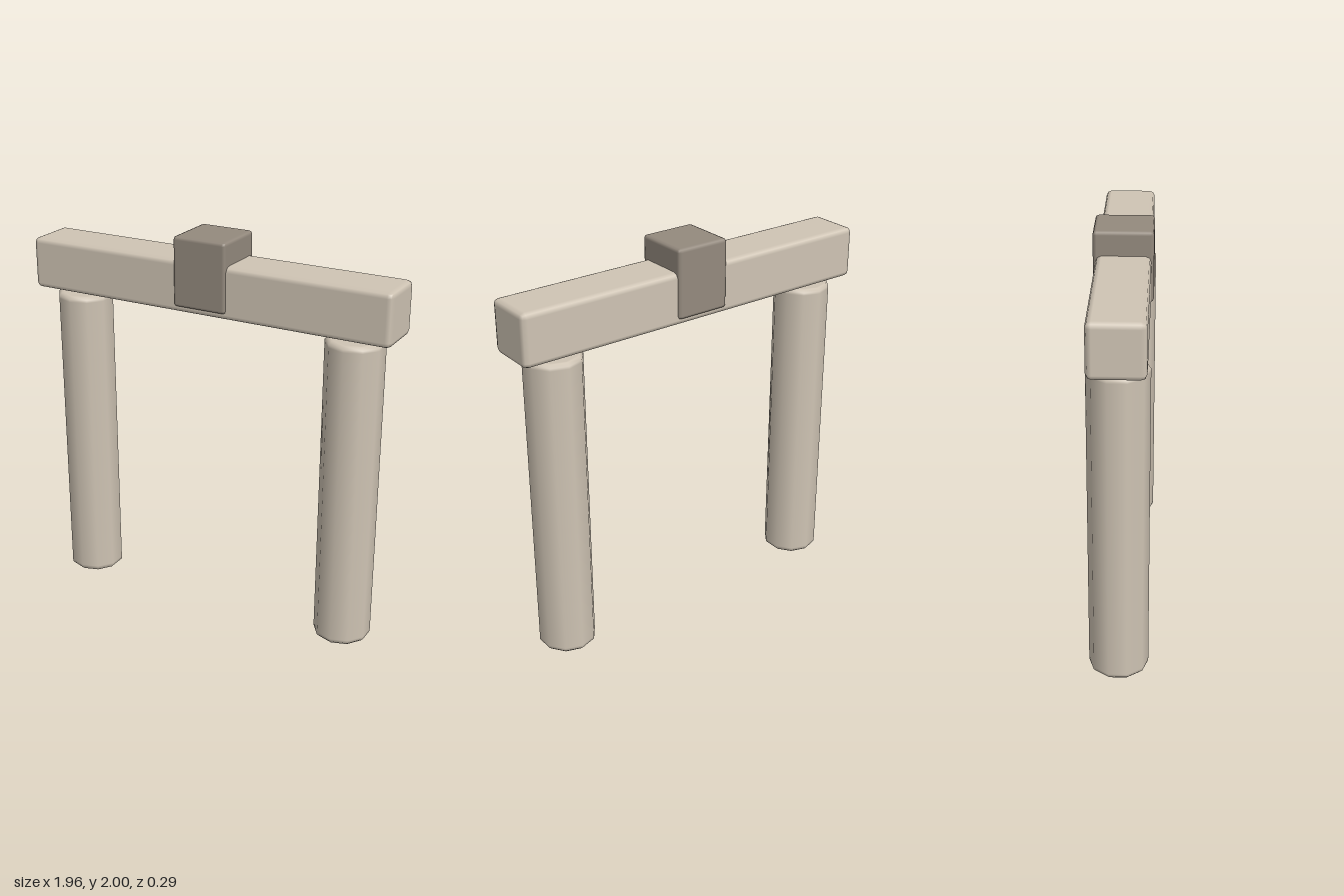
import * as THREE from 'three';
import { RoundedBoxGeometry } from 'three/addons/geometries/RoundedBoxGeometry.js';

const paleStone = new THREE.MeshStandardMaterial({ color: 0xcfc4b4 });
const darkStone = new THREE.MeshStandardMaterial({ color: 0x948a7e });

// Stone block with softened edges, given by its size and bottom height
function block(name, width, height, depth, bottom, radius, material) {
  const mesh = new THREE.Mesh(new RoundedBoxGeometry(width, height, depth, 1, radius), material);
  mesh.name = name;
  mesh.position.y = bottom + height / 2;
  return mesh;
}

// Ten-sided post with a small bevel at both rims
function postGeometry(radius, height, bevel) {
  const half = [[0, 0], [radius - 2 * bevel, 0], [radius - bevel, 0], [radius, bevel], [radius, 2 * bevel]];
  const profile = [
    ...half.map(([r, y]) => new THREE.Vector2(r, y)),
    ...half.slice().reverse().map(([r, y]) => new THREE.Vector2(r, height - y)),
  ];
  return new THREE.LatheGeometry(profile, 10);
}

export function createModel() {
  const model = new THREE.Group();
  model.name = 'stoneGate';

  // Posts
  const geometry = postGeometry(0.145, 1.6, 0.014);
  for (const [name, x] of [['leftPost', 0.76], ['rightPost', -0.76]]) {
    const post = new THREE.Mesh(geometry, paleStone);
    post.name = name;
    post.position.x = x;
    model.add(post);
  }

  // Lintel floating just above the posts, and the keystone across its middle
  model.add(block('lintel', 1.96, 0.265, 0.264, 1.617, 0.028, paleStone));
  model.add(block('keystone', 0.286, 0.352, 0.29, 1.648, 0.018, darkStone));

  return model;
}
